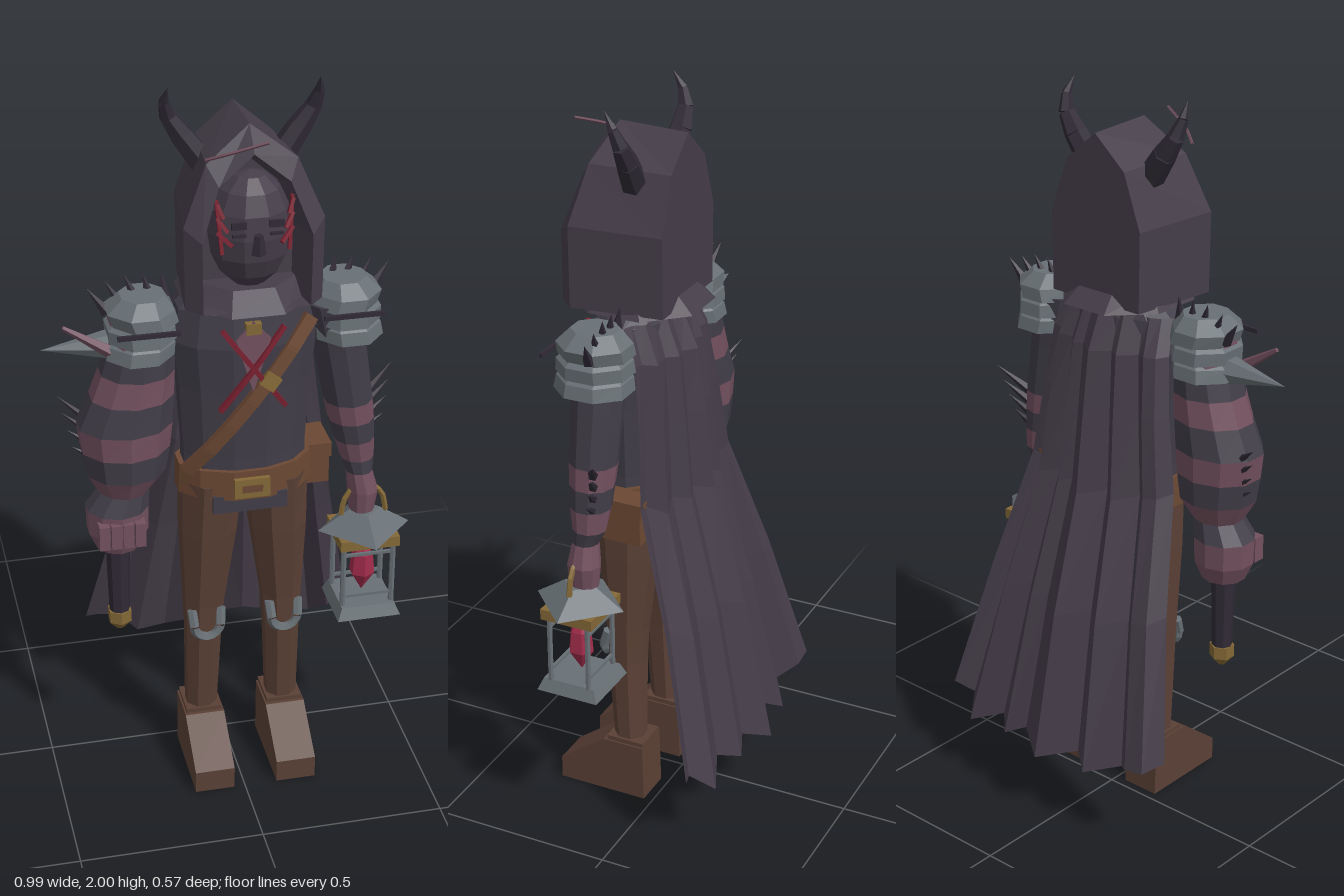
import * as THREE from 'three';

const CX = 0.03; // body midline
const mat = (name, color, double) => {
  const m = new THREE.MeshStandardMaterial({ color });
  m.name = name;
  if (double) m.side = THREE.DoubleSide;
  return m;
};

export function createModel() {
  const root = new THREE.Group();
  const cloth = mat('plum cloth', 0x453d49, true);
  const slate = mat('slate cloth', 0x413d48);
  const dark = mat('dark horn', 0x302a35);
  const pink = mat('dusty pink', 0x72505e);
  const brown = mat('trouser brown', 0x5a4035);
  const leather = mat('strap leather', 0x6b4833);
  const steel = mat('dull steel', 0x687075);
  const gold = mat('old gold', 0x836836);
  const crystal = mat('red crystal', 0xa02c4a);
  const red = mat('scar red', 0x7a2030);

  const V = (p) => new THREE.Vector3(...p);
  const UP = new THREE.Vector3(0, 1, 0);
  function add(name, geo, m, pos) {
    const g = geo.index ? geo.toNonIndexed() : geo;
    g.computeVertexNormals(); // faceted look
    const mesh = new THREE.Mesh(g, m);
    mesh.name = name;
    if (pos) mesh.position.set(...pos);
    root.add(mesh);
    return mesh;
  }
  const box = (name, m, size, pos) => add(name, new THREE.BoxGeometry(...size), m, pos);

  // Tapered rod from a to b; r1 = 0 makes a spike
  function rod(name, m, a, b, r0, r1 = r0, sides = 6) {
    const d = V(b).sub(V(a));
    const mesh = add(name, new THREE.CylinderGeometry(r1, r0, d.length(), sides), m);
    mesh.position.copy(V(a).add(V(b)).multiplyScalar(0.5));
    mesh.quaternion.setFromUnitVectors(UP, d.normalize());
    return mesh;
  }
  // Flat strip between two points
  function strip(name, m, a, b, w, t) {
    const y = V(b).sub(V(a)), len = y.length();
    y.normalize();
    const x = y.clone().cross(new THREE.Vector3(0, 0, 1)).normalize();
    const mesh = box(name, m, [w, len, t]);
    mesh.position.copy(V(a).add(V(b)).multiplyScalar(0.5));
    mesh.quaternion.setFromRotationMatrix(new THREE.Matrix4().makeBasis(x, y, x.clone().cross(y)));
    return mesh;
  }
  // Skin a list of rings of points
  function loft(name, m, rings, closed = true, caps = true) {
    const n = rings[0].length, pos = rings.flat(2), idx = [];
    for (let i = 0; i < rings.length - 1; i++)
      for (let j = 0; j < (closed ? n : n - 1); j++) {
        const k = (j + 1) % n, a = i * n + j, b = a + n, c = i * n + k, d = c + n;
        idx.push(a, b, c, c, b, d);
      }
    if (caps) [0, rings.length - 1].forEach((r, end) => {
      const mid = [0, 1, 2].map((q) => rings[r].reduce((s, p) => s + p[q], 0) / n);
      const ci = pos.length / 3;
      pos.push(...mid);
      for (let j = 0; j < n; j++) {
        const a = r * n + j, b = r * n + (j + 1) % n;
        idx.push(ci, end ? b : a, end ? a : b);
      }
    });
    const g = new THREE.BufferGeometry();
    g.setAttribute('position', new THREE.Float32BufferAttribute(pos, 3));
    g.setIndex(idx);
    return add(name, g, m);
  }
  // Elliptic ring from [x, y, z, rx, rz]
  const ring = ([x, y, z, rx, rz], n = 10) => Array.from({ length: n }, (_, i) => {
    const a = ((i + 0.5) / n) * Math.PI * 2;
    return [x + Math.cos(a) * rx, y, z + Math.sin(a) * rz];
  });
  const body = (name, m, secs, n) => loft(name, m, secs.map((s) => ring(s, n)));
  const banded = (name, secs, mats) => mats.forEach((m, i) => body(name, m, [secs[i], secs[i + 1]]));

  // Torso, collar and shirt tail
  body('torso', slate, [[CX, 0.88, 0.1, 0.17, 0.1], [CX, 1, 0.1, 0.168, 0.1], [CX, 1.2, 0.1, 0.18, 0.11],
    [CX, 1.33, 0.1, 0.195, 0.118], [CX, 1.42, 0.1, 0.18, 0.105], [CX, 1.48, 0.1, 0.1, 0.08]], 12);
  body('collar', cloth, [[CX, 1.45, 0.1, 0.18, 0.19], [CX, 1.5, 0.1, 0.14, 0.13]], 8);
  box('shirtTail', slate, [0.2, 0.05, 0.02], [CX, 0.87, 0.19]);

  // Chest details follow the torso front
  const front = (x, y, off = 0.004) => [x, y, 0.1 + (0.112 + off) * Math.sqrt(Math.max(0, 1 - ((x - CX) / 0.21) ** 2))];
  const line = (name, m, x0, y0, x1, y1, w, t, off, n = 6) => {
    for (let i = 0; i < n; i++) {
      const p = (k) => front(x0 + (x1 - x0) * k / n, y0 + (y1 - y0) * k / n, off);
      strip(name, m, p(i), p(i + 1.1), w, t);
    }
  };
  const neck = new THREE.Shape([[-0.045, 0], [0, -0.15], [0.045, 0], [0, 0.05]].map((p) => new THREE.Vector2(...p)));
  add('openNeck', new THREE.ExtrudeGeometry(neck, { depth: 0.008, bevelEnabled: false }), pink, [CX, 1.36, 0.215]);
  box('neckClasp', gold, [0.04, 0.03, 0.02], [CX, 1.39, 0.215]);
  line('chestScar', red, CX - 0.08, 1.39, CX + 0.08, 1.17, 0.012, 0.015, 0.016, 3);
  line('chestScar', red, CX + 0.08, 1.39, CX - 0.08, 1.17, 0.012, 0.015, 0.016, 3);
  line('chestStrap', leather, 0.19, 1.39, -0.13, 0.98, 0.036, 0.02, 0.006);
  strip('strapBuckle', gold, front(0.06, 1.225, 0.022), front(0.085, 1.257, 0.022), 0.045, 0.01);

  // Belt, buckle and pouch
  body('belt', leather, [[CX, 0.885, 0.1, 0.185, 0.112], [CX, 0.97, 0.1, 0.183, 0.112]], 12);
  box('beltBuckle', gold, [0.095, 0.055, 0.02], [CX, 0.925, 0.212]);
  box('buckleHole', leather, [0.055, 0.02, 0.006], [CX, 0.925, 0.222]);
  box('pouch', leather, [0.065, 0.12, 0.11], [0.235, 0.91, 0.05]);
  box('pouchFlap', leather, [0.075, 0.04, 0.12], [0.235, 0.95, 0.05]);

  // Legs, boots and knee guards
  const sole = new THREE.Shape([[-0.285, 0], [-0.285, 0.065], [-0.15, 0.165], [-0.03, 0.165], [-0.025, 0]]
    .map((p) => new THREE.Vector2(...p)));
  for (const s of [-1, 1]) {
    const X = (d) => CX + s * d;
    body('leg', brown, [[X(0.115), 0.15, 0.09, 0.045, 0.045], [X(0.11), 0.42, 0.1, 0.052, 0.055],
      [X(0.108), 0.52, 0.1, 0.058, 0.06], [X(0.096), 0.75, 0.1, 0.08, 0.085], [X(0.088), 0.92, 0.1, 0.088, 0.098]], 8);
    const boot = add('boot', new THREE.ExtrudeGeometry(sole, { depth: 0.11, bevelEnabled: false }), brown, [X(0.115) - 0.055, 0, 0]);
    boot.rotation.y = Math.PI / 2;
    box('bootCuff', brown, [0.1, 0.045, 0.11], [X(0.115), 0.155, 0.085]);
    const guard = add('kneeGuard', new THREE.TorusGeometry(0.036, 0.014, 5, 8, Math.PI), steel, [X(0.108), 0.465, 0.155]);
    guard.rotation.z = Math.PI;
    for (const e of [-1, 1]) rod('kneeGuardArm', steel, [X(0.108) + e * 0.036, 0.465, 0.155], [X(0.108) + e * 0.04, 0.51, 0.14], 0.014);

    // Layered shoulder pad with front trim and thorns
    for (let i = 0; i < 3; i++) {
      const y = 1.3 + i * 0.045, r = 1 - i * 0.02;
      body('shoulderPad', steel, [[X(0.275 - i * 0.008), y, 0.1, 0.095 * r, 0.106 * r], [X(0.27), y + 0.035, 0.1, 0.093, 0.1],
        [X(0.262), y + 0.07, 0.1, 0.06, 0.065]], 8);
    }
    box('padTrim', dark, [0.16, 0.012, 0.009], [X(0.265), 1.395, 0.213]);
    for (let i = 0; i < 5; i++) {
      const d = 0.2 + i * 0.037, y = 1.45 - Math.max(0, i - 2) * 0.015;
      rod('padThorn', dark, [X(d), y - 0.015, 0.075], [X(d + 0.005 + i * 0.011), y + 0.05, 0.06], 0.016, 0, 5);
    }
    // Forearm thorns
    const o = s > 0 ? 0.33 : 0.385;
    for (let i = 0; i < 4; i++)
      rod('armThorn', dark, [X(o - i * 0.003), 1.08 - i * 0.035, 0.08], [X(o + 0.095 - i * 0.01), 1.155 - i * 0.045, 0.03 + i * 0.012], 0.016, 0, 5);

    // Horn
    const path = [[0.1, 1.79, 0.07, 0.036], [0.15, 1.86, 0.064, 0.031], [0.183, 1.91, 0.066, 0.022], [0.195, 1.955, 0.08, 0.014], [0.19, 2, 0.105, 0]];
    for (let i = 0; i < 4; i++) {
      const [a, b] = [path[i], path[i + 1]];
      rod('horn', dark, [X(a[0]), a[1], a[2]], [X(b[0]), b[1], b[2]], a[3], b[3]);
    }
    // Eyes and cheek scratches
    box('eye', dark, [0.038, 0.018, 0.008], [X(0.047), 1.69, 0.255]);
    box('lowerLid', dark, [0.034, 0.007, 0.008], [X(0.047), 1.665, 0.258]);
    for (let i = 0; i < 3; i++)
      strip('cheekScratch', red, [X(0.062 + i * 0.01), 1.635 + i * 0.035, 0.25 - i * 0.006], [X(0.095), 1.665 + i * 0.038, 0.226], 0.009, 0.009);
    strip('cheekScratch', red, [X(0.085), 1.61, 0.236], [X(0.095), 1.745, 0.215], 0.009, 0.009);
  }

  // Face mask
  const face = add('mask', new THREE.SphereGeometry(1, 10, 8), cloth, [CX, 1.645, 0.165]);
  face.scale.set(0.107, 0.155, 0.095);
  rod('nose', dark, [CX, 1.615, 0.262], [CX, 1.665, 0.262], 0.02, 0.012, 5);

  // Hood: back panel, shell, rim and hollow
  const arch = [[-0.175, 1.46], [-0.178, 1.68], [-0.115, 1.83], [0, 1.915], [0.115, 1.83], [0.178, 1.68], [0.175, 1.46]];
  const hoodRing = (sx, sy, zs) => arch.map(([x, y], i) => [CX + x * sx, 1.46 + (y - 1.46) * sy, zs[Math.min(i, 6 - i)]]);
  loft('hood', cloth, [hoodRing(0.84, 0.985, [-0.03, -0.03, -0.03, -0.03]), hoodRing(1, 1, [0.22, 0.22, 0.19, 0.16]),
    hoodRing(0.78, 0.87, [0.26, 0.26, 0.225, 0.215]), hoodRing(0.66, 0.8, [0.14, 0.14, 0.14, 0.14])]);
  const wisp = new THREE.CatmullRomCurve3([[-0.09, 1.85, 0.21], [-0.04, 1.875, 0.245], [0.05, 1.91, 0.28]].map(V));
  add('wisp', new THREE.TubeGeometry(wisp, 6, 0.004, 4), pink);

  // Slim left arm
  banded('leftArm', [[0.36, 0.76, 0.11, 0.035, 0.04], [0.362, 0.82, 0.11, 0.042, 0.046], [0.35, 0.88, 0.11, 0.036, 0.036],
    [0.345, 0.92, 0.1, 0.046, 0.046], [0.335, 0.98, 0.1, 0.055, 0.055], [0.325, 1.04, 0.1, 0.062, 0.06], [0.315, 1.1, 0.1, 0.066, 0.065],
    [0.29, 1.25, 0.1, 0.07, 0.07], [0.26, 1.4, 0.1, 0.075, 0.08]], [pink, pink, slate, pink, slate, pink, slate, slate]);
  // Swollen right arm
  banded('rightArm', [[-0.31, 0.73, 0.1, 0.06, 0.06], [-0.31, 0.78, 0.1, 0.083, 0.08], [-0.31, 0.85, 0.1, 0.085, 0.083],
    [-0.29, 0.9, 0.1, 0.068, 0.068], [-0.285, 0.96, 0.1, 0.108, 0.1], [-0.285, 1.03, 0.1, 0.12, 0.105], [-0.285, 1.1, 0.1, 0.128, 0.108],
    [-0.265, 1.18, 0.1, 0.112, 0.1], [-0.25, 1.25, 0.1, 0.1, 0.095], [-0.24, 1.32, 0.1, 0.09, 0.09], [-0.24, 1.4, 0.1, 0.08, 0.08]],
  [pink, pink, slate, pink, slate, pink, slate, pink, slate, pink]);
  for (let i = 0; i < 4; i++) box('finger', pink, [0.028, 0.07, 0.035], [-0.358 + i * 0.032, 0.8, 0.172]);
  rod('armSpike', steel, [-0.31, 1.325, 0.095], [-0.495, 1.325, 0.095], 0.04, 0, 6);
  rod('armSplinter', pink, [-0.32, 1.32, 0.13], [-0.44, 1.4, 0.13], 0.018, 0.006, 5);

  // Hilt held in the right hand
  rod('hilt', dark, [-0.31, 0.51, 0.1], [-0.31, 0.76, 0.1], 0.028, 0.034, 8);
  rod('pommel', gold, [-0.31, 0.485, 0.1], [-0.31, 0.52, 0.1], 0.034, 0.034, 6);
  rod('pommelTip', gold, [-0.31, 0.485, 0.1], [-0.31, 0.46, 0.1], 0.034, 0.012, 6);

  // Lantern
  const LX = 0.365, LZ = 0.122;
  rod('lanternRoof', steel, [LX, 0.705, LZ], [LX, 0.76, LZ], 0.128, 0.045, 4);
  rod('roofCap', steel, [LX, 0.755, LZ], [LX, 0.785, LZ], 0.03, 0.02, 4);
  box('lanternBand', gold, [0.165, 0.03, 0.15], [LX, 0.69, LZ]);
  for (const a of [-1, 1]) for (const b of [-1, 1])
    rod('lanternPost', steel, [LX + a * 0.069, 0.48, LZ + b * 0.056], [LX + a * 0.069, 0.69, LZ + b * 0.056], 0.008);
  for (const y of [0.52, 0.65]) for (const b of [-1, 1])
    box('lanternRail', steel, [0.138, 0.008, 0.008], [LX, y, LZ + b * 0.056]);
  const base = rod('lanternBase', steel, [LX, 0.458, LZ], [LX, 0.492, LZ], 0.125, 0.105, 4);
  base.rotation.y = Math.PI / 4;
  rod('lanternFoot', gold, [LX, 0.452, LZ], [LX, 0.462, LZ], 0.05, 0.06, 6);
  const bail = new THREE.CatmullRomCurve3([[-0.065, 0.75], [-0.055, 0.8], [-0.01, 0.845], [0.045, 0.81], [0.06, 0.75]].map(([x, y]) => V([LX + x, y, LZ])));
  add('lanternHandle', new THREE.TubeGeometry(bail, 10, 0.008, 5), gold);
  rod('crystal', crystal, [LX, 0.56, LZ], [LX, 0.62, LZ], 0.036, 0.03, 6);
  rod('crystal', crystal, [LX, 0.62, LZ], [LX, 0.67, LZ], 0.03, 0, 6);
  rod('crystal', crystal, [LX, 0.56, LZ], [LX, 0.5, LZ], 0.036, 0, 6);

  // Pleated cape: hem points [x, y, z] pulled in towards the shoulders
  const hem = [[-0.36, 0.3, -0.2], [-0.32, 0.27, -0.245], [-0.26, 0.26, -0.245], [-0.21, 0.23, -0.2], [-0.12, 0.2, -0.258], [-0.07, 0.23, -0.22],
    [0.03, 0.2, -0.288], [0.11, 0.24, -0.235], [0.17, 0.21, -0.26], [0.22, 0.23, -0.21], [0.315, 0.19, -0.25], [0.355, 0.24, -0.19], [0.415, 0.26, -0.21]];
  // rows: [share of height, width, mean z, fold depth, side wrap]
  const rows = [[0, 1, -0.235, 1, 0], [0.33, 0.8, -0.155, 0.9, 0.02], [0.6, 0.64, -0.07, 0.75, 0.04], [0.78, 0.56, -0.05, 0.6, 0.04],
    [0.92, 0.51, -0.035, 0.45, 0.05], [1, 0.46, 0, 0.3, 0.06]];
  loft('cape', cloth, rows.map(([t, w, z, f, wrap]) => hem.map(([x, y, hz]) => [
    CX + (x - CX) * w, y + (1.43 - y) * t, z + (hz + 0.235) * f + wrap * ((x - CX) / 0.39) ** 2])), false, false);

  return root;
}
